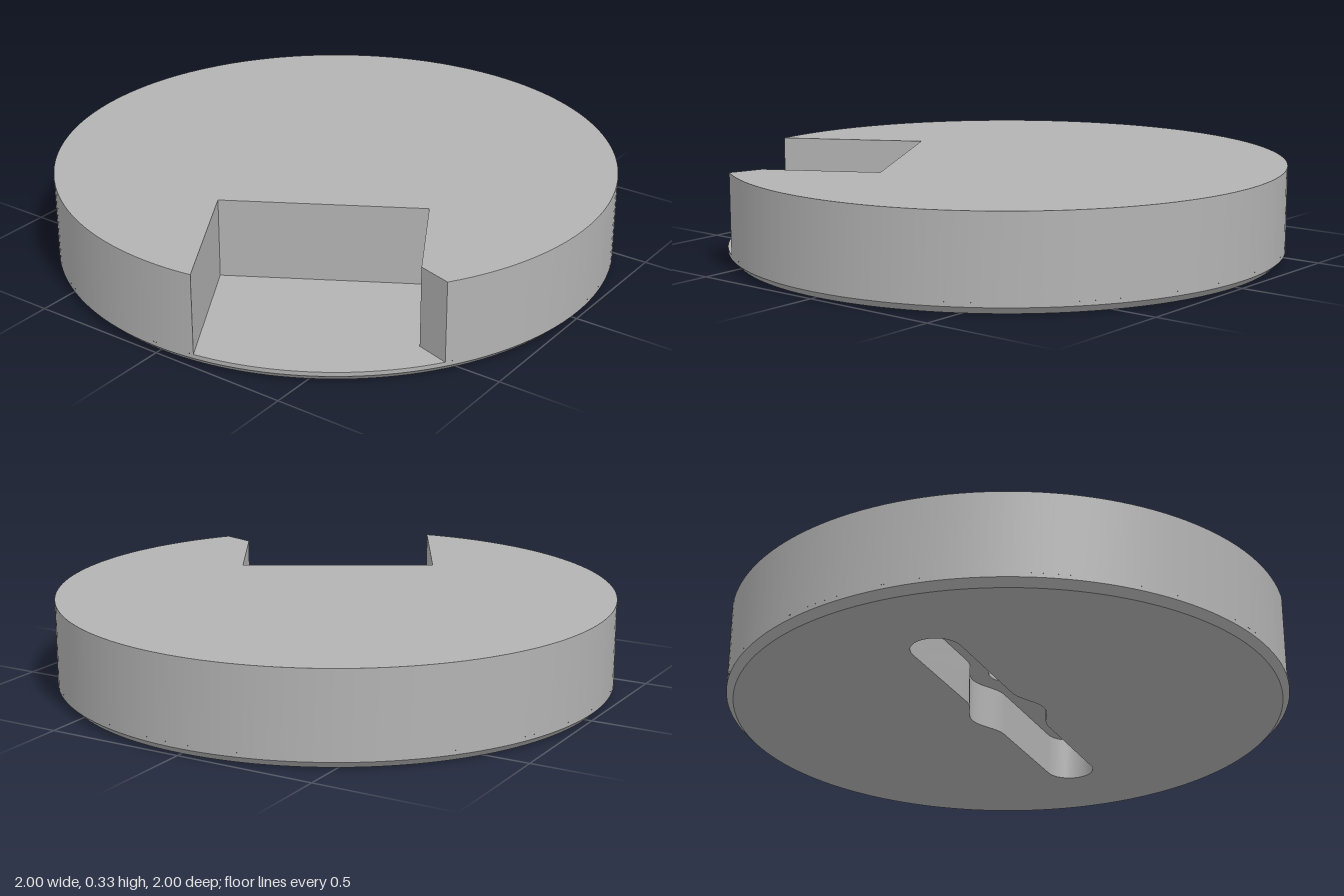
import * as THREE from 'three';
import { toCreasedNormals } from 'three/addons/utils/BufferGeometryUtils.js';

const TOP = 0.33, FLOOR = 0.04, CHAMFER = 0.025;
const SLOT_TOP = 0.16, PIN_TOP = 0.25;

// Points [x, z] along an arc
function arc(r, a0, a1, n, cz = 0) {
  const pts = [];
  for (let i = 0; i <= n; i++) {
    const a = a0 + (a1 - a0) * i / n;
    pts.push([r * Math.cos(a), cz + r * Math.sin(a)]);
  }
  return pts;
}
const circle = (r, n) => arc(r, 0, Math.PI * 2, n).slice(0, -1);

// Closed band of quads between two outlines, facing outward
function band(a, ya, b, yb) {
  const pos = [];
  a.forEach((_, i) => {
    const j = (i + 1) % a.length;
    const a0 = [a[i][0], ya, a[i][1]], a1 = [a[j][0], ya, a[j][1]];
    const b0 = [b[i][0], yb, b[i][1]], b1 = [b[j][0], yb, b[j][1]];
    pos.push(...a0, ...b0, ...a1, ...b0, ...b1, ...a1);
  });
  const g = new THREE.BufferGeometry();
  g.setAttribute('position', new THREE.Float32BufferAttribute(pos, 3));
  return toCreasedNormals(g, 0.5);
}
// Same band facing inward, for the sides of a recess
function recess(pts, y0, y1) {
  const p = [...pts].reverse();
  return band(p, y0, p, y1);
}
// Flat face at height y, optionally with a hole, facing up or down
function face(pts, y, up, hole) {
  const s = up ? -1 : 1;
  const vec = list => list.map(([x, z]) => new THREE.Vector2(x, s * z));
  const shape = new THREE.Shape(vec(pts));
  if (hole) shape.holes.push(new THREE.Path(vec(hole)));
  return new THREE.ShapeGeometry(shape).rotateX(s * Math.PI / 2).translate(0, y, 0);
}

// Slot with rounded ends and a smooth bulge in the middle
function slotOutline() {
  const w = 0.088, L = 0.58, side = [];
  for (let i = 0; i <= 20; i++) {
    const z = 0.16 - 0.32 * i / 20;
    side.push([-w - 0.026 * (1 + Math.cos(Math.PI * z / 0.16)), z]);
  }
  const half = [...arc(w, 0, Math.PI, 16, L), ...side];
  return [...half, ...half.map(([x, z]) => [-x, -z])];
}

export function createModel() {
  const group = new THREE.Group();
  const gray = new THREE.MeshStandardMaterial({ color: 0xb3b3b3 });
  gray.name = 'gray';
  const add = (name, geometry) => {
    const mesh = new THREE.Mesh(geometry, gray);
    mesh.name = name;
    group.add(mesh);
  };

  // Disc outline with the angled notch cut from its edge
  const aFront = Math.atan2(0.83, -0.555), aBack = Math.atan2(0.15, -0.99);
  const notch = [[-0.52, 0.71], [-0.155, 0.5], [-0.52, -0.12]];
  const body = [...arc(1, aBack, aFront + Math.PI * 2, 128), ...notch];
  const notchArea = [...arc(1, aFront, aBack, 24), ...[...notch].reverse()];

  const rim = circle(1, 144), foot = circle(0.975, 144);
  const slot = slotOutline(), pin = circle(0.07, 24);

  // Disc
  add('topFace', face(body, TOP, true));
  add('bodyWall', band(body, FLOOR, body, TOP));
  add('notchFloor', face(notchArea, FLOOR, true));
  add('lowerRim', band(rim, CHAMFER, rim, FLOOR));
  add('bottomChamfer', band(foot, 0, rim, CHAMFER));
  add('bottomFace', face(foot, 0, false, slot));

  // Slot in the underside with a small centre hole
  add('slotWall', recess(slot, 0, SLOT_TOP));
  add('slotCeiling', face(slot, SLOT_TOP, false, pin));
  add('centreHoleWall', recess(pin, SLOT_TOP, PIN_TOP));
  add('centreHoleCeiling', face(pin, PIN_TOP, false));

  return group;
}
